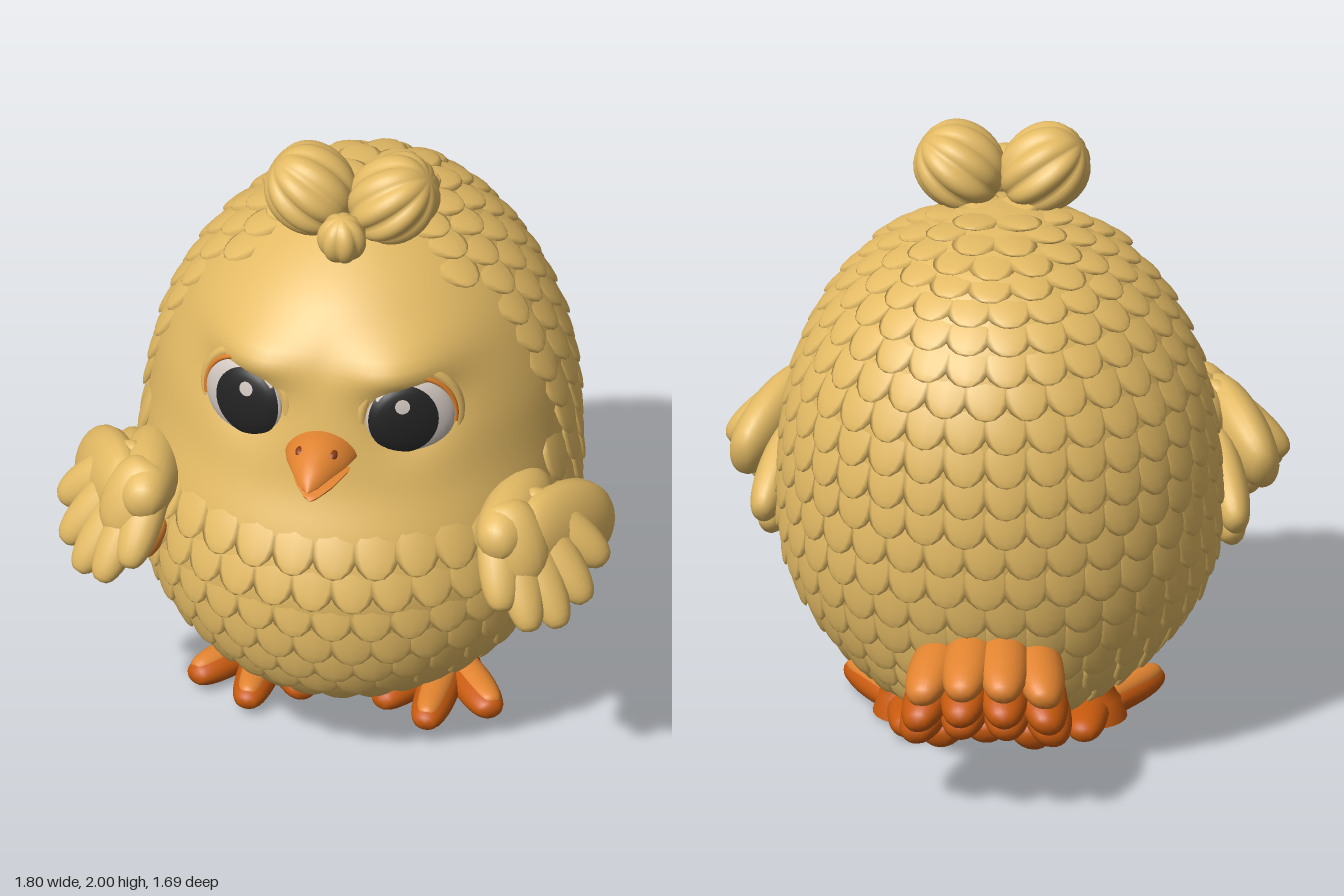
import * as THREE from 'three';
import { mergeGeometries, mergeVertices } from 'three/addons/utils/BufferGeometryUtils.js';

const V = (x, y, z) => new THREE.Vector3(x, y, z);
const material = (name, color) => Object.assign(new THREE.MeshStandardMaterial({ color }), { name });

// Body profile from bottom to crown: height, half width, front z, back z
const PROFILE = [
  [0.17, 0.01, 0.04, 0.02], [0.18, 0.2, 0.27, -0.33], [0.24, 0.42, 0.57, -0.46],
  [0.36, 0.56, 0.69, -0.51], [0.52, 0.66, 0.755, -0.57], [0.70, 0.695, 0.78, -0.63],
  [0.88, 0.69, 0.74, -0.655], [1.05, 0.678, 0.67, -0.665], [1.25, 0.64, 0.63, -0.65],
  [1.45, 0.55, 0.575, -0.595], [1.6, 0.43, 0.47, -0.5], [1.71, 0.285, 0.31, -0.37],
  [1.77, 0.14, 0.16, -0.17], [1.785, 0.005, 0.02, 0.01],
];
const frontCurve = new THREE.CatmullRomCurve3(PROFILE.map(([y, w, f]) => V(w, y, f)));
const backCurve = new THREE.CatmullRomCurve3(PROFILE.map(([y, w, f, b]) => V(w, y, b)));

// Point on the body: t runs upward, angle 0 is the front
function surface(t, angle) {
  const a = frontCurve.getPoint(t), b = backCurve.getPoint(t);
  const p = V(a.x * Math.sin(angle), a.y, (a.z + b.z) / 2 + (a.z - b.z) / 2 * Math.cos(angle));
  if (p.z > 0.1) { // brows and eye sockets
    const x = Math.abs(p.x);
    p.z += 0.075 * Math.exp(-((x - 0.25) ** 2) / 0.025 - (p.y - 1.46) ** 2 / 0.007)
      - 0.05 * Math.exp(-((x - 0.27) ** 2 + (p.y - 1.28) ** 2) / 0.012);
  }
  return p;
}

// Smooth sheet made by moving the vertices of a plane
function sheet(nu, nv, rule) {
  const g = new THREE.PlaneGeometry(1, 1, nu, nv), pos = g.attributes.position;
  for (let i = 0; i < pos.count; i++) {
    const p = rule(pos.getX(i) + 0.5, pos.getY(i) + 0.5);
    pos.setXYZ(i, p.x, p.y, p.z);
  }
  g.deleteAttribute('uv');
  g.computeVertexNormals();
  return g;
}

// Rounded lobe from a to b; lower power gives blunter ends, ridges run lengthwise
function blob(a, b, width, thick, normal, { power = 0.7, ridges = 0, nu = 20, nv = 16 } = {}) {
  let g = new THREE.SphereGeometry(1, nu, nv);
  g.deleteAttribute('uv');
  g.deleteAttribute('normal');
  g = mergeVertices(g);
  const pos = g.attributes.position;
  for (let i = 0; i < pos.count; i++) {
    const x = pos.getX(i), z = pos.getZ(i), r = Math.hypot(x, z);
    const ridge = ridges ? 0.87 + 0.14 * Math.abs(Math.sin(Math.atan2(x, z) * ridges / 2)) : 1;
    const k = r > 0.001 ? ridge * r ** (power - 1) : 1;
    pos.setXYZ(i, x * k, pos.getY(i), z * k);
  }
  const dir = b.clone().sub(a), half = dir.length() / 2;
  dir.normalize();
  const side = dir.clone().cross(normal).normalize(), n = side.clone().cross(dir);
  g.scale(width, half, thick);
  const m = new THREE.Matrix4().makeBasis(side, dir, n);
  g.applyMatrix4(m.setPosition(a.clone().add(b).multiplyScalar(0.5)));
  g.computeVertexNormals();
  return g;
}

// Overlapping plumage rows, leaving the face bare
function plumage() {
  const parts = [], rows = 26, reach = 0.108 / frontCurve.getLength();
  for (let r = 1; r < rows; r++) {
    const at = (d) => frontCurve.getUtoTmapping(THREE.MathUtils.clamp(r / rows + d, 0, 1));
    const t = at(0), a = frontCurve.getPoint(t), b = backCurve.getPoint(t);
    if (a.x < 0.06 || a.y < 0.178) continue;
    const count = Math.round(Math.PI * (a.x + (a.z - b.z) / 2) / 0.13);
    for (let i = 0; i < count; i++) {
      const angle = (i + (r % 2) / 2) / count * Math.PI * 2;
      const p = surface(t, angle);
      if (p.y > 0.97 && p.z > 0.18) continue;
      const root = surface(at(reach), angle), tip = surface(at(-reach), angle);
      const n = surface(t, angle + 0.02).sub(p).cross(root.clone().sub(tip)).normalize();
      root.addScaledVector(n, -0.022);
      tip.addScaledVector(n, 0.017);
      parts.push(blob(root, tip, 0.08, 0.015, n, { power: 1, nu: 8, nv: 8 }));
    }
  }
  return mergeGeometries(parts);
}

// Beak half from rows of z, centre y, half width, height above, height below
function beakHalf(rows) {
  return sheet(32, rows.length - 1, (u, v) => {
    const [z, y, w, top, bottom] = rows[Math.round(v * (rows.length - 1))];
    const s = Math.sin(u * Math.PI * 2), h = Math.sign(s) * Math.abs(s) ** 1.4;
    return V(w * Math.cos(u * Math.PI * 2), y + h * (s > 0 ? top : bottom), z);
  });
}

// Thin ellipse lying on the eyeball
const EYE = [0.147, 0.137, 0.045];
function eyePatch(cx, cy, rx, ry, lift) {
  const g = new THREE.RingGeometry(0.001, 1, 40, 8), pos = g.attributes.position;
  for (let i = 0; i < pos.count; i++) {
    const x = cx + pos.getX(i) * rx, y = cy + pos.getY(i) * ry;
    const d = 1 - (x / EYE[0]) ** 2 - (y / EYE[1]) ** 2;
    pos.setXYZ(i, x, y, EYE[2] * Math.sqrt(Math.max(d, 0)) + lift);
  }
  g.computeVertexNormals();
  return g;
}

export function createModel() {
  const gold = material('golden down', 0xe4bb65);
  const orange = material('light orange', 0xe28430);
  const deep = material('deep orange', 0xc85a0e);
  const black = material('iris black', 0x242424);
  const white = material('eye white', 0xd3c8c1);
  const brown = material('mouth brown', 0x8a3c14);
  const model = new THREE.Group();
  const add = (name, geometry, mat, parent = model) => {
    const mesh = new THREE.Mesh(Array.isArray(geometry) ? mergeGeometries(geometry) : geometry, mat);
    mesh.name = name;
    parent.add(mesh);
    return mesh;
  };

  add('body', sheet(104, 80, (u, v) => surface(v, (u - 0.5) * Math.PI * 2)), gold);
  add('plumage', plumage(), gold);

  // Beak
  add('upperBeak', beakHalf([[0.55, 1.18, 0.118, 0.07, 0.02], [0.64, 1.178, 0.115, 0.078, 0.015],
    [0.70, 1.178, 0.098, 0.07, 0.015], [0.77, 1.175, 0.063, 0.048, 0.015],
    [0.82, 1.165, 0.032, 0.026, 0.012], [0.845, 1.155, 0.002, 0.002, 0.002]]), orange);
  add('lowerBeak', beakHalf([[0.55, 1.15, 0.108, 0.01, 0.06], [0.66, 1.138, 0.095, 0.005, 0.052],
    [0.74, 1.122, 0.06, 0.004, 0.034], [0.79, 1.11, 0.025, 0.004, 0.016],
    [0.805, 1.10, 0.002, 0.002, 0.002]]), orange);
  add('mouth', blob(V(-0.095, 1.157, 0.63), V(0.095, 1.157, 0.63), 0.08, 0.02, V(0, 1, 0)), brown);

  // Crest
  const Z = V(0, 0, 1), Y = V(0, 1, 0);
  add('frontCrestTuft', blob(V(0, 1.71, 0.31), V(0, 1.87, 0.33), 0.08, 0.08, Z,
    { power: 0.9, ridges: 7, nu: 56 }), gold);

  for (const s of [1, -1]) {
    const side = s > 0 ? 'left' : 'right';
    const P = (x, y, z) => V(s * x, y, z);
    add(side + 'CrestLobe', blob(P(0.02, 1.775, 0.165), P(0.25, 1.95, 0.165), 0.137, 0.165, Z,
      { power: 0.8, ridges: 9, nu: 72, nv: 18 }), gold);
    add(side + 'Nostril', blob(P(0.055, 1.222, 0.685), P(0.05, 1.212, 0.725), 0.016, 0.016, Y), brown);

    // Eye
    const eye = new THREE.Group();
    eye.name = side + 'Eye';
    eye.position.copy(P(0.27, 1.29, 0.535));
    eye.lookAt(P(0.27 + 0.4, 1.29 + 0.01, 0.535 + 0.9));
    model.add(eye);
    add('eyeball', new THREE.SphereGeometry(1, 32, 20).scale(...EYE), white, eye);
    add('iris', eyePatch(-s * 0.03, 0.006, 0.112, 0.122, 0.003), black, eye);
    add('eyeHighlight', eyePatch(-s * 0.036, 0.064, 0.024, 0.024, 0.006), white, eye);
    const lid = add('eyelid', new THREE.TorusGeometry(0.16, 0.019, 10, 40), gold, eye);
    lid.position.z = -0.016;
    const rim = add('eyeRim', new THREE.TorusGeometry(0.145, 0.009, 8, 30, 1.6), orange, eye);
    rim.position.z = 0.006;
    rim.rotation.z = s > 0 ? -0.2 : Math.PI + 0.2 - 1.6;

    // Wing: rounded shoulder, forward fingers and trailing lobes
    const out = P(0.8, 0.3, 0.5);
    add(side + 'WingShoulder', [
      blob(P(0.57, 0.93, 0.69), P(0.62, 0.91, 0.24), 0.11, 0.1, out),
      blob(P(0.64, 0.93, 0.6), P(0.84, 0.8, 0.22), 0.14, 0.085, out),
      blob(P(0.57, 1.02, 0.55), P(0.66, 0.76, 0.63), 0.11, 0.085, P(0.3, 0.3, 0.9)),
    ], gold);
    const fingers = [[0.885, 0.77, 0.45], [0.85, 0.69, 0.57], [0.785, 0.64, 0.66], [0.7, 0.65, 0.72], [0.61, 0.72, 0.73]];
    add(side + 'WingFingers', fingers.map(([x, y, z], i) =>
      blob(P(0.62 - i * 0.018, 1.0, 0.46 + i * 0.018), P(x, y, z), 0.072, 0.06, P(0.5, 0.3, 0.8))), gold);
    const lobes = [[0.7, 0.57, 0.35], [0.72, 0.56, 0.22], [0.74, 0.61, 0.1], [0.76, 0.7, 0.01], [0.79, 0.68, 0.38]];
    add(side + 'WingLobes', lobes.map(([x, y, z]) =>
      blob(P(0.66, 0.88, 0.36), P(x, y, z), 0.09, 0.065, P(1, 0.1, 0.1))), gold);
    add(side + 'WingLining', blob(P(0.54, 0.8, 0.54), P(0.61, 0.63, 0.5), 0.042, 0.03, P(0.5, 0, 0.8)), orange);

    // Leg and foot
    const leg = [[0.12, 0.02], [0.1, 0.09], [0.068, 0.13], [0.066, 0.24]].map(([r, y]) => new THREE.Vector2(r, y));
    add(side + 'Leg', new THREE.LatheGeometry(leg, 24).translate(s * 0.285, 0, 0.06), deep);
    const tips = [[0.12, 0.33], [0.29, 0.425], [0.485, 0.31], [0.28, -0.2]];
    const toes = (y, w, h, inset) => tips.map(([x, z]) =>
      blob(P(0.288, y, z > 0 ? 0 : 0.15), P(x, y, z - Math.sign(z) * inset), w, h, Y, { power: 0.55 }));
    add(side + 'Toes', toes(0.062, 0.068, 0.052, 0), deep);
    add(side + 'ToeTops', toes(0.085, 0.05, 0.038, 0.02).slice(0, 3), orange);
  }

  // Tail fan: rows of tip height, tip z, half spread, feather count, root height
  const tail = [[0.46, -0.83, 0.18, 4, 0.53], [0.38, -0.85, 0.19, 4, 0.45],
    [0.31, -0.78, 0.2, 4, 0.38], [0.25, -0.66, 0.14, 3, 0.31]];
  tail.forEach(([y, z, spread, count, rootY], row) => {
    const feathers = [];
    for (let i = 0; i < count; i++) {
      const k = i / (count - 1) * 2 - 1;
      feathers.push(blob(V(k * spread * 0.8, rootY - 0.04 * k * k, -0.42),
        V(k * spread * 1.1, y - 0.04 * k * k, z + 0.05 * k * k), 0.08, 0.065, V(k * 0.5, 1, -0.3)));
    }
    add('tailRow' + (row + 1), feathers, row < 1 ? orange : deep);
  });
  return model;
}
